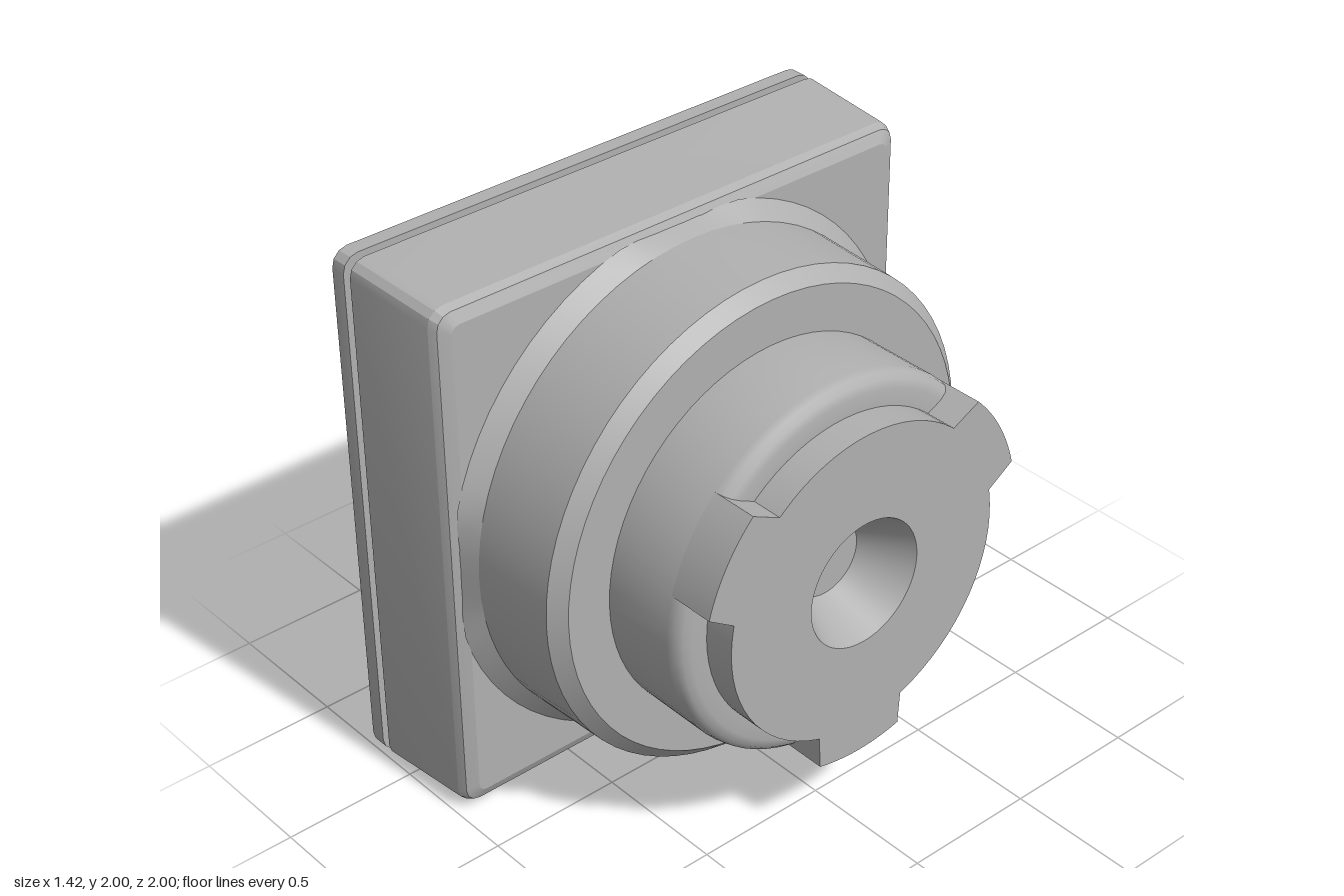
import * as THREE from 'three';
import { toCreasedNormals } from 'three/addons/utils/BufferGeometryUtils.js';

const AXIS_Y = 1; // height of the turned axis, which runs along x

// Lofts rounded squares along x; each section is [x, half size, corner radius]
function loftSquares(sections, steps = 3) {
  const loops = sections.map(([x, half, r]) => {
    const loop = [];
    for (let c = 0; c < 4; c++) {
      const mid = Math.PI / 4 + c * Math.PI / 2;
      const cy = Math.sign(Math.cos(mid)) * (half - r);
      const cz = Math.sign(Math.sin(mid)) * (half - r);
      for (let i = 0; i <= steps; i++) {
        const a = (c + i / steps) * Math.PI / 2;
        loop.push([x, cy + r * Math.cos(a), cz + r * Math.sin(a)]);
      }
    }
    return loop;
  });
  const pos = [];
  const tri = (a, b, c) => pos.push(...a, ...b, ...c);
  const n = loops[0].length;
  const first = loops[0], last = loops[loops.length - 1];
  for (let i = 0; i < n; i++) {
    const j = (i + 1) % n;
    for (let k = 0; k < loops.length - 1; k++) {
      const a = loops[k], b = loops[k + 1];
      tri(a[i], b[j], b[i]);
      tri(a[i], a[j], b[j]);
    }
    tri([first[0][0], 0, 0], first[j], first[i]);
    tri([last[0][0], 0, 0], last[i], last[j]);
  }
  const geo = new THREE.BufferGeometry();
  geo.setAttribute('position', new THREE.Float32BufferAttribute(pos, 3));
  return toCreasedNormals(geo, 0.35);
}

// Turns a profile of [x, radius] points around the x axis
function turn(profile, segments = 72) {
  const geo = new THREE.LatheGeometry(profile.map(([x, r]) => new THREE.Vector2(r, x)), segments);
  return geo.rotateZ(-Math.PI / 2);
}

export function createModel() {
  const model = new THREE.Group();
  const grey = new THREE.MeshStandardMaterial({ color: 0xb0b0b0 });
  grey.name = 'grey';

  const add = (name, geo, y = AXIS_Y, z = 0) => {
    const mesh = new THREE.Mesh(geo, grey);
    mesh.name = name;
    mesh.position.set(0, y, z);
    model.add(mesh);
  };

  // Square back plate and tapered housing, separated by a narrow gap
  add('backPlate', loftSquares([[-0.71, 1, 0.06], [-0.65, 1, 0.06]]));
  add('housing', loftSquares([
    [-0.615, 1, 0.06], [-0.24, 0.98, 0.06], [-0.21, 0.967, 0.055], [-0.19, 0.925, 0.03],
  ]));

  // Corner pins bridging the gap
  for (const sy of [-1, 1]) for (const sz of [-1, 1]) {
    const pin = new THREE.CylinderGeometry(0.06, 0.06, 0.102, 24).rotateZ(Math.PI / 2).translate(-0.661, 0, 0);
    add('cornerPin', pin, AXIS_Y + sy * 0.89, sz * 0.89);
  }

  // Sloped collar, trimmed where it would overhang the housing edge
  const collar = turn([[-0.19, 0.98], [-0.13, 0.92]]);
  const p = collar.attributes.position;
  const limit = 0.945;
  for (let i = 0; i < p.count; i++) {
    const y = p.getY(i), z = p.getZ(i);
    const over = Math.max(Math.abs(y), Math.abs(z)) - limit;
    if (over > 0) {
      p.setXYZ(i, p.getX(i) - over * 0.5,
        THREE.MathUtils.clamp(y, -limit, limit), THREE.MathUtils.clamp(z, -limit, limit));
    }
  }
  add('collar', toCreasedNormals(collar, 0.4));

  // Wide drum with a chamfered rim
  add('drum', toCreasedNormals(turn([
    [-0.21, 0.92], [-0.13, 0.92], [0.2, 0.907], [0.25, 0.857], [0.25, 0],
  ]), 0.4));

  // Hub with rounded shoulder, raised core and conical socket
  add('hub', toCreasedNormals(turn([
    [0.25, 0.69], [0.53, 0.69], [0.56, 0.683], [0.58, 0.665], [0.588, 0.635],
    [0.588, 0.575], [0.705, 0.575], [0.705, 0.235], [0.52, 0.14], [0.52, 0],
  ]), 0.7));

  // Three locking lugs, widening towards the core
  const deg = Math.PI / 180;
  for (const centre of [30, 150, 270]) {
    const shape = new THREE.Shape();
    shape.absarc(0, 0, 0.69, (centre - 15) * deg, (centre + 15) * deg, false);
    shape.absarc(0, 0, 0.572, (centre + 19) * deg, (centre - 19) * deg, true);
    shape.closePath();
    const lug = new THREE.ExtrudeGeometry(shape, { depth: 0.175, bevelEnabled: false, curveSegments: 10 });
    lug.translate(0, 0, 0.53).rotateY(Math.PI / 2);
    add('lockingLug', toCreasedNormals(lug, 0.4));
  }
  return model;
}
